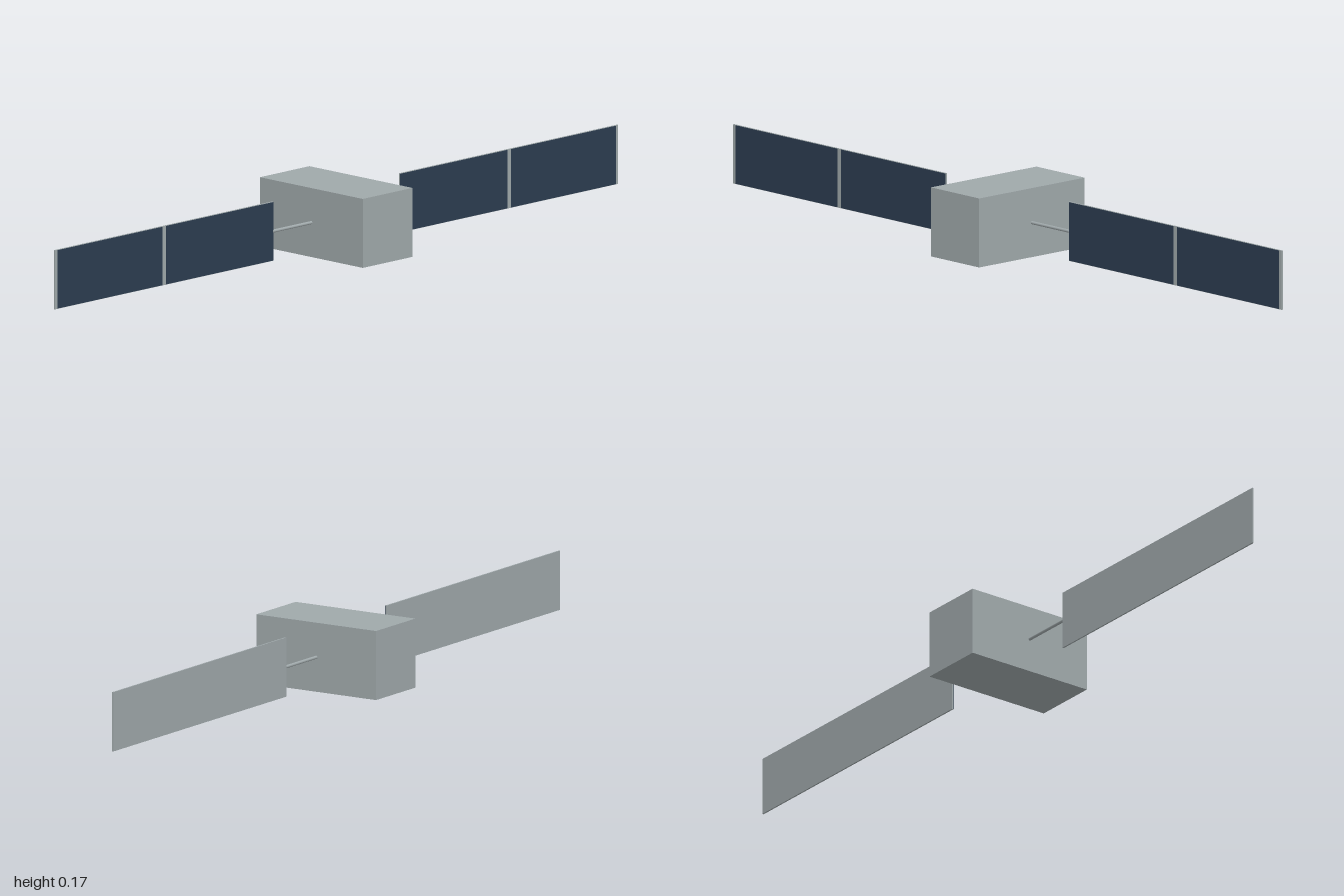
import * as THREE from 'three';

export function createModel() {
  const model = new THREE.Group();
  model.name = 'satellite';
  const grey = new THREE.MeshStandardMaterial({ name: 'metalGrey', color: 0x9fa8aa });
  const navy = new THREE.MeshStandardMaterial({ name: 'solarNavy', color: 0x2c3c50 });
  const midY = 0.0875;

  const add = (parent, name, geometry, material, x, y, z) => {
    const mesh = new THREE.Mesh(geometry, material);
    mesh.name = name;
    mesh.position.set(x, y, z);
    parent.add(mesh);
    return mesh;
  };

  // Central box
  add(model, 'body', new THREE.BoxGeometry(0.176, 0.175, 0.356), grey, 0, midY, 0);

  // One wing on each side: boom, backing panel and two solar cells on the front
  for (const side of [1, -1]) {
    const wing = new THREE.Group();
    wing.name = side > 0 ? 'leftWing' : 'rightWing';
    model.add(wing);

    const boom = add(wing, 'boom', new THREE.CylinderGeometry(0.004, 0.004, 0.14, 16), grey, side * 0.156, midY, 0);
    boom.rotation.z = Math.PI / 2;

    add(wing, 'panel', new THREE.BoxGeometry(0.775, 0.15, 0.004), grey, side * 0.6125, midY, -0.0005);

    for (const [start, end] of [[0.225, 0.605], [0.619, 0.991]]) {
      add(wing, 'solarCell', new THREE.BoxGeometry(end - start, 0.148, 0.001), navy,
        side * (start + end) / 2, midY, 0.002);
    }
  }
  return model;
}
